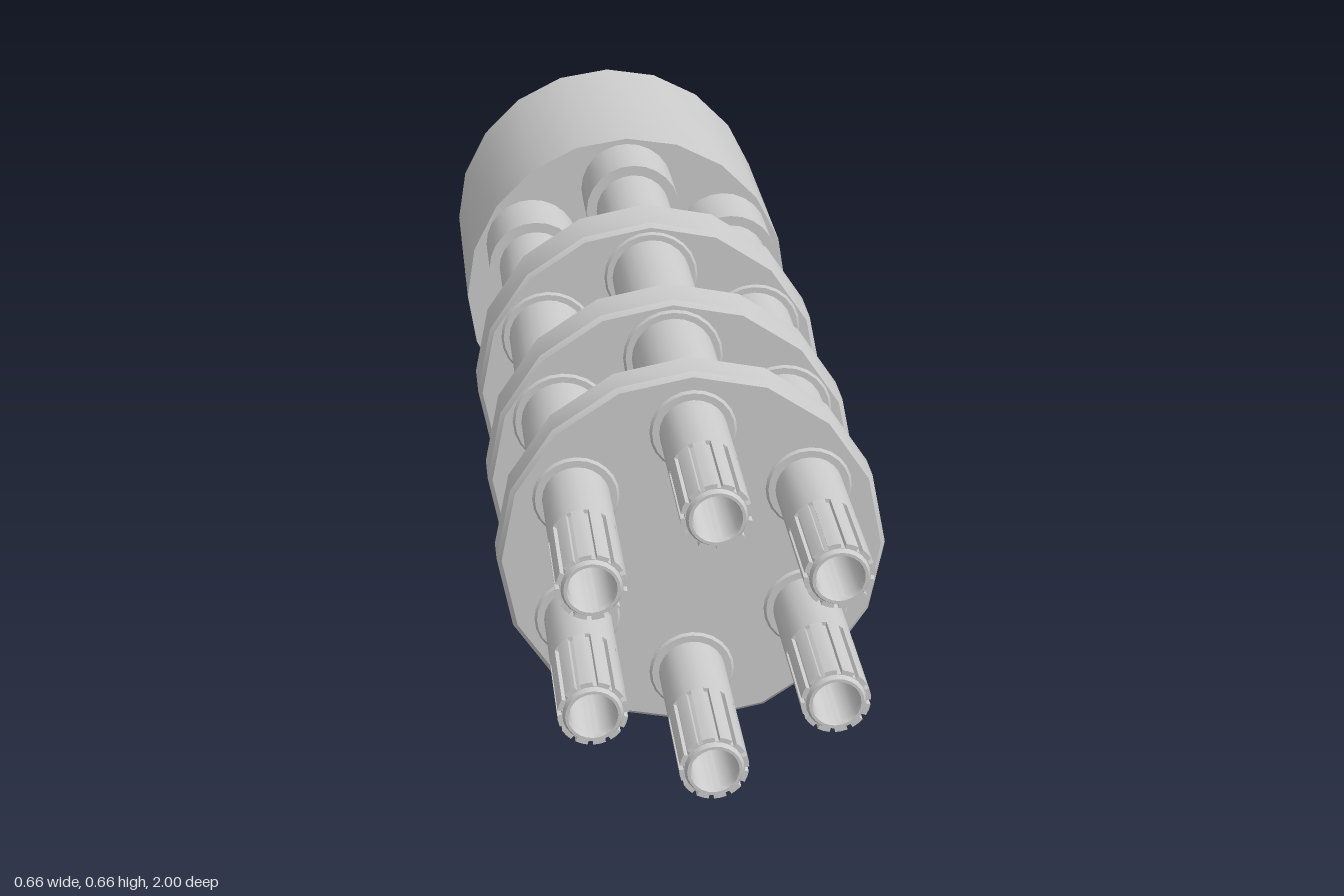
import * as THREE from 'three';
import { toCreasedNormals } from 'three/addons/utils/BufferGeometryUtils.js';

const CENTER_Y = 0.33, RING_RADIUS = 0.226, BARRELS = 6;
const material = new THREE.MeshStandardMaterial({ color: 0xcccccc });

function mesh(geometry, name) {
  const m = new THREE.Mesh(geometry, material);
  m.name = name;
  return m;
}

// Solid turned around the z axis from [radius, z] pairs, back to front
function turned(profile, sides) {
  const g = new THREE.LatheGeometry(profile.map(([r, z]) => new THREE.Vector2(r, z)), sides);
  g.rotateX(Math.PI / 2);
  return toCreasedNormals(g, 0.5);
}

// Disc with chamfered rims
function disc(radius, z0, z1, chamfer, sides) {
  return turned([
    [0, z0], [radius - chamfer, z0], [radius, z0 + chamfer],
    [radius, z1 - chamfer], [radius - chamfer, z1], [0, z1],
  ], sides);
}

// Toothed sleeve around the muzzle
function flutedSleeve(z0, z1, teeth = 12) {
  const shape = new THREE.Shape();
  const step = (Math.PI * 2) / teeth;
  for (let i = 0; i < teeth; i++) {
    [[0.057, 0], [0.057, 0.35], [0.057, 0.7], [0.05, 0.72], [0.05, 0.98]].forEach(([r, t], k) => {
      const a = (i + t) * step;
      const x = r * Math.cos(a), y = r * Math.sin(a);
      if (i === 0 && k === 0) shape.moveTo(x, y);
      else shape.lineTo(x, y);
    });
  }
  shape.closePath();
  const hole = new THREE.Path();
  hole.absarc(0, 0, 0.044, 0, Math.PI * 2, true);
  shape.holes.push(hole);
  const g = new THREE.ExtrudeGeometry(shape, { depth: z1 - z0, bevelEnabled: false, curveSegments: 12 });
  return toCreasedNormals(g.translate(0, 0, z0), 0.5);
}

export function createModel() {
  const model = new THREE.Group();
  model.name = 'rotaryBarrelAssembly';
  const core = new THREE.Group();
  core.name = 'barrelCluster';
  core.position.y = CENTER_Y;
  model.add(core);

  // Rear drum
  core.add(mesh(turned([[0, -1], [0.33, -1], [0.33, -0.53], [0, -0.53]], 20), 'rearHousing'));

  // Clamp plates: back z, front z, boss radius
  const plates = [[-0.15, -0.035, 0.088], [0.26, 0.352, 0.088], [0.592, 0.667, 0.073]];
  plates.forEach(([z0, z1], i) => {
    core.add(mesh(disc(0.33, z0, z1, 0.008, 16), `clampPlate${i + 1}`));
  });

  // Shared barrel parts
  const tube = turned([
    [0.073, -0.54], [0.073, 0.6], [0.057, 0.6], [0.057, 0.83], [0.05, 0.83],
    [0.05, 0.99], [0.045, 1], [0.04, 1], [0.037, 0.99], [0.037, 0.72], [0, 0.72],
  ], 24);
  const collar = turned([[0.073, -0.54], [0.093, -0.54], [0.093, -0.395], [0.072, -0.395]], 24);
  const sleeve = flutedSleeve(0.83, 0.992);
  const bosses = plates.map(([z0, z1, r]) => disc(r, z0 - 0.005, z1 + 0.005, 0.004, 24));

  // Six barrels around the axis
  for (let i = 0; i < BARRELS; i++) {
    const a = Math.PI / 2 + (i * Math.PI * 2) / BARRELS;
    const barrel = new THREE.Group();
    barrel.name = `barrel${i + 1}`;
    barrel.position.set(RING_RADIUS * Math.cos(a), RING_RADIUS * Math.sin(a), 0);
    barrel.add(mesh(tube, 'barrelTube'), mesh(collar, 'rearCollar'), mesh(sleeve, 'flutedMuzzle'));
    bosses.forEach((g, k) => barrel.add(mesh(g, `plateBoss${k + 1}`)));
    core.add(barrel);
  }
  return model;
}
